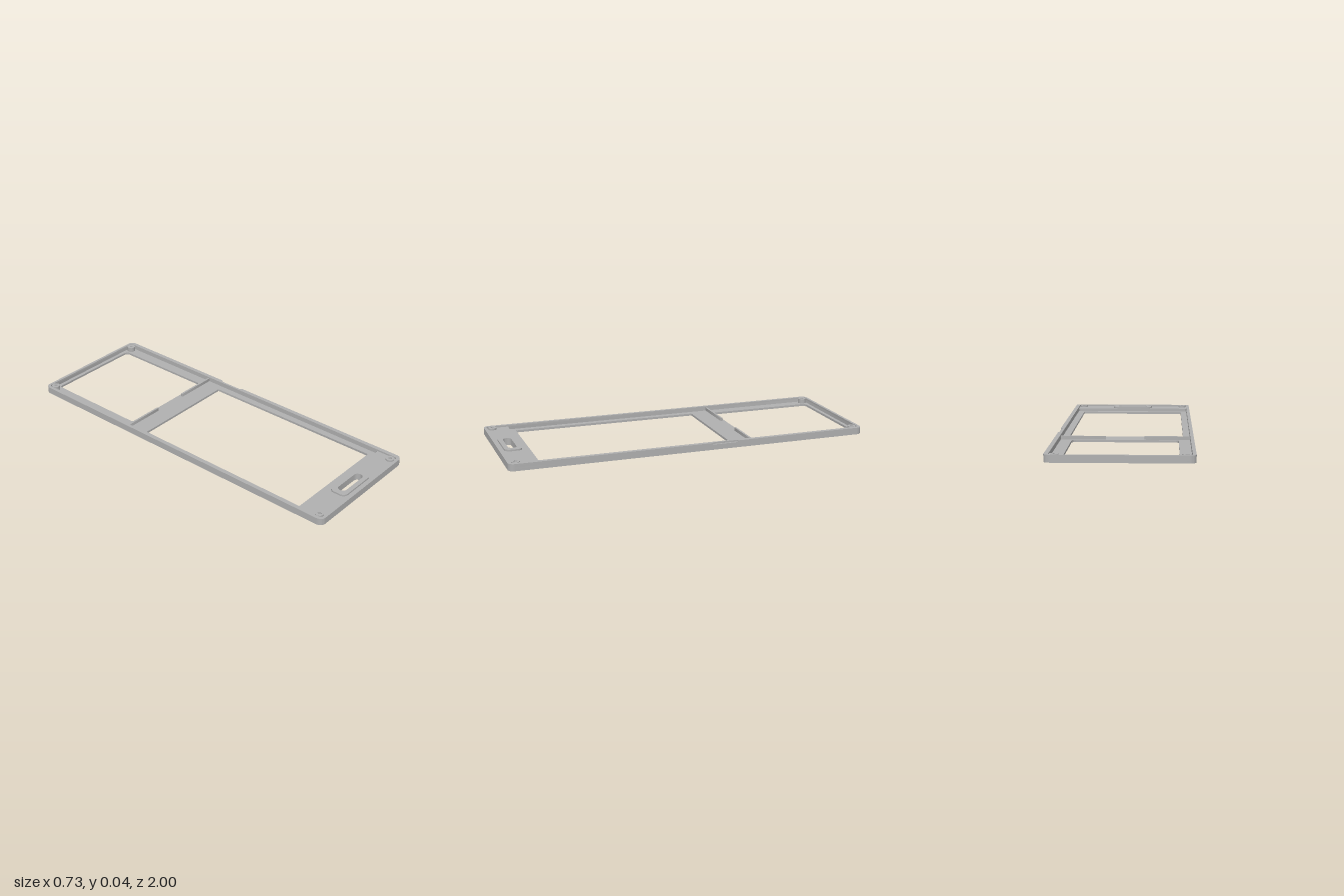
import * as THREE from 'three';
import { toCreasedNormals } from 'three/addons/utils/BufferGeometryUtils.js';

const HX = 0.363, FLOOR = 0.012, SHELF = 0.029, TOP = 0.038;

// Rounded rectangle in plan, given by x and z limits
function roundRect(x0, x1, z0, z1, r, Type = THREE.Shape) {
  const p = new Type(), a = -z1, b = -z0;
  p.moveTo(x0 + r, a);
  p.lineTo(x1 - r, a);
  p.absarc(x1 - r, a + r, r, -Math.PI / 2, 0, false);
  p.lineTo(x1, b - r);
  p.absarc(x1 - r, b - r, r, 0, Math.PI / 2, false);
  p.lineTo(x0 + r, b);
  p.absarc(x0 + r, b - r, r, Math.PI / 2, Math.PI, false);
  p.lineTo(x0, a + r);
  p.absarc(x0 + r, a + r, r, Math.PI, Math.PI * 1.5, false);
  return p;
}

const hole = (...args) => roundRect(...args, THREE.Path);

// Four-sided screw hole
function screwHole(x, z, r = 0.012) {
  const p = new THREE.Path();
  p.moveTo(x + r, -z);
  p.lineTo(x, -z + r);
  p.lineTo(x - r, -z);
  p.lineTo(x, -z - r);
  p.closePath();
  return p;
}

export function createModel() {
  const group = new THREE.Group();
  const grey = new THREE.MeshStandardMaterial({ color: 0xb0b0b0 });
  grey.name = 'grey plastic';

  // Extrude a plan shape from height y0 to y1
  function slab(name, shape, holes, y0, y1) {
    shape.holes.push(...holes);
    let geo = new THREE.ExtrudeGeometry(shape, { depth: y1 - y0, bevelEnabled: false, curveSegments: 8 });
    geo.rotateX(-Math.PI / 2).translate(0, y0, 0);
    geo = toCreasedNormals(geo, 0.6);
    const mesh = new THREE.Mesh(geo, grey);
    mesh.name = name;
    group.add(mesh);
  }

  const outline = () => roundRect(-HX, HX, -1, 1, 0.032);
  const slot = () => hole(-0.095, 0.088, 0.898, 0.944, 0.022);
  const screws = [[-0.32, 0.955], [0.314, 0.955]];
  const backScrews = [[-0.32, -0.96], [0.314, -0.96]];

  // Floor with the two windows and the slot
  slab('floor', outline(), [
    hole(-0.285, 0.28, -0.965, -0.36, 0.022),
    hole(-0.31, 0.303, -0.23, 0.825, 0.004),
    slot(),
  ], 0, FLOOR);

  // Lower wall ring, solid at the front shelf
  slab('wallAndShelf', outline(), [
    hole(-0.345, 0.34, -0.985, 0.862, 0.012),
    slot(),
    ...screws.map(([x, z]) => screwHole(x, z)),
  ], FLOOR, SHELF);

  // Upper rim, with a shallow side notch in its outer right edge
  const rim = new THREE.Shape();
  const notch = [[HX, 0.1], [0.352, 0.105], [0.352, 0.245], [HX, 0.25]];
  const r = 0.032;
  rim.moveTo(-HX + r, -1);
  rim.lineTo(HX - r, -1);
  rim.absarc(HX - r, -1 + r, r, -Math.PI / 2, 0, false);
  notch.forEach(([x, y]) => rim.lineTo(x, y));
  rim.lineTo(HX, 1 - r);
  rim.absarc(HX - r, 1 - r, r, 0, Math.PI / 2, false);
  rim.lineTo(-HX + r, 1);
  rim.absarc(-HX + r, 1 - r, r, Math.PI / 2, Math.PI, false);
  rim.lineTo(-HX, -1 + r);
  rim.absarc(-HX + r, -1 + r, r, Math.PI, Math.PI * 1.5, false);
  slab('rim', rim, [hole(-0.345, 0.34, -0.985, 0.985, 0.016)], SHELF, TOP);

  // Raised collar around the slot
  slab('slotCollar', roundRect(-0.125, 0.118, 0.873, 0.969, 0.03), [slot()], SHELF, TOP);

  // Screw bosses in all four corners
  for (const [x, z] of [...screws, ...backScrews]) {
    const boss = new THREE.Shape();
    boss.absarc(x, -z, 0.023, 0, Math.PI * 2, false);
    slab('screwBoss', boss, [screwHole(x, z)], z > 0 ? SHELF : FLOOR, TOP);
  }

  // Ribs on the crossbar
  slab('leftRib', roundRect(0.1, 0.342, -0.345, -0.334, 0.001), [], FLOOR, 0.03);
  slab('rightRib', roundRect(-0.347, -0.105, -0.345, -0.334, 0.001), [], FLOOR, 0.03);

  return group;
}
